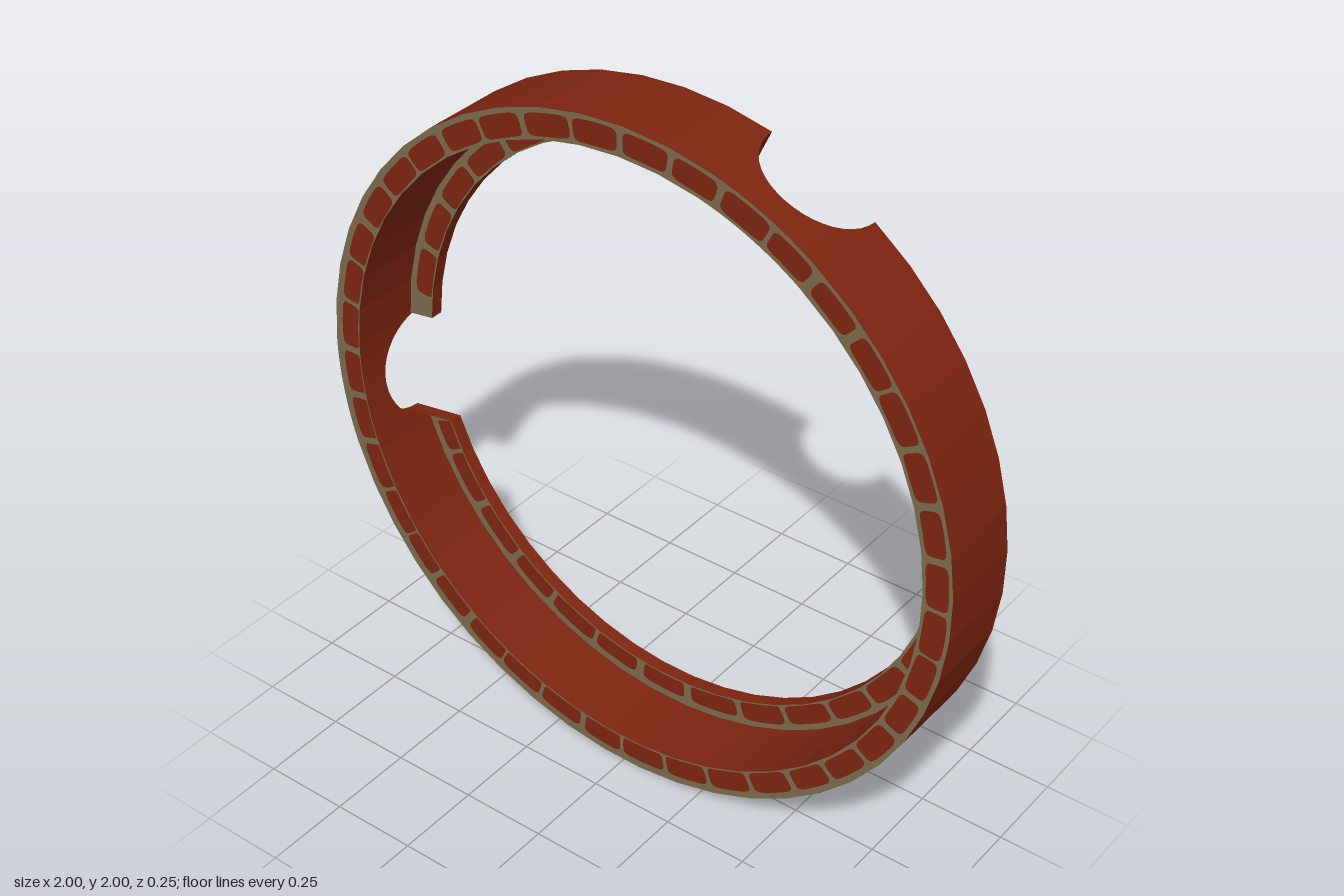
import * as THREE from 'three';

const OUTER = 1, RIM = 0.915, INNER = 0.835;        // radii
const BACK = -0.125, LEDGE = -0.085, FRONT = 0.125; // depths
const NOTCH = 0.166;                                // notch radius
const D = Math.PI / 180;
const NOTCHES = [65 * D, 189 * D];

const at = (r, a, z) => new THREE.Vector3(r * Math.cos(a), 1 + r * Math.sin(a), z);

function addQuad(list, a, b, c, d) {
  for (const p of [a, b, c, a, c, d]) list.push(p.x, p.y, p.z);
}

// Joins neighbouring cross-sections; front-facing edges go to the mortar list
function loft(columns, mortarEdges, wall, mortar) {
  for (let i = 0; i + 1 < columns.length; i++) {
    const p = columns[i], q = columns[i + 1], n = p.length;
    for (let k = 0; k < n; k++) {
      const m = (k + 1) % n;
      addQuad(mortarEdges.includes(k) ? mortar : wall, p[k], q[k], q[m], p[m]);
    }
  }
}

function meshFrom(name, positions, material) {
  const g = new THREE.BufferGeometry();
  g.setAttribute('position', new THREE.Float32BufferAttribute(positions, 3));
  g.computeVertexNormals();
  const mesh = new THREE.Mesh(g, material);
  mesh.name = name;
  return mesh;
}

// A curved row of rounded bricks lying just in front of a mortar face
function brickRow(name, o, material, random) {
  const shapes = [];
  for (let i = 0; i < o.count; i++) {
    const step = 2 * Math.PI / o.count;
    const mid = o.start + i * step + (random() - 0.5) * 0.012;
    const halfAngle = step * (0.42 + random() * 0.055);
    const halfWidth = o.half * (0.92 + random() * 0.12);
    let low = -Infinity, high = Infinity, skip = false;
    if (o.cut) for (const n of NOTCHES) {
      const d = Math.atan2(Math.sin(mid - n), Math.cos(mid - n));
      const edge = Math.asin(NOTCH / o.radius) + 0.006;
      if (Math.abs(d) < edge) skip = true;
      else if (d > 0) low = Math.max(low, mid - d + edge);
      else high = Math.min(high, mid - d - edge);
    }
    if (skip) continue;
    const pts = [];
    for (let k = 0; k < 24; k++) {
      const t = k / 24 * 2 * Math.PI, c = Math.cos(t), s = Math.sin(t);
      const u = Math.sign(c) * Math.pow(Math.abs(c), 0.35);
      const v = Math.sign(s) * Math.pow(Math.abs(s), 0.4);
      const a = Math.min(high, Math.max(low, mid + u * halfAngle));
      const shift = 0.008 * (Math.cos(a) + Math.sin(a)) * 0.8;
      const r = Math.min(o.max, Math.max(o.min, o.radius + shift + v * halfWidth));
      pts.push(new THREE.Vector2(r * Math.cos(a), 1 + r * Math.sin(a)));
    }
    shapes.push(new THREE.Shape(pts));
  }
  const mesh = new THREE.Mesh(new THREE.ShapeGeometry(shapes), material);
  mesh.position.z = o.z;
  mesh.name = name;
  return mesh;
}

export function createModel() {
  const group = new THREE.Group();
  group.name = 'brickRing';
  const brick = new THREE.MeshStandardMaterial({ color: 0x7c240f });
  brick.name = 'brick red';
  const mortarMat = new THREE.MeshStandardMaterial({ color: 0x7a6a4b });
  mortarMat.name = 'mortar';
  let seed = 7;
  const random = () => (seed = (seed * 16807) % 2147483647) / 2147483647;

  const wall = [], mortar = [];
  const skin = 0.0015; // brick plates stand this far off the mortar
  const front = FRONT - skin, ledge = LEDGE - skin;

  NOTCHES.forEach((n, i) => {
    // Rim section above a round notch cut in from the back
    const bridge = [];
    for (let k = 0; k <= 20; k++) {
      const f = -Math.PI / 2 + Math.PI * k / 20;
      const t = NOTCH * Math.sin(f), zb = BACK + NOTCH * Math.cos(f);
      const ao = n + Math.asin(t / OUTER), ai = n + Math.asin(t / RIM);
      bridge.push([at(OUTER, ao, zb), at(OUTER, ao, front), at(RIM, ai, front), at(RIM, ai, zb)]);
    }
    loft(bridge, [1], wall, mortar);

    // Stepped ring section running on to the next notch
    const next = i === 0 ? NOTCHES[1] : NOTCHES[0] + 2 * Math.PI;
    const segments = Math.round((next - n - 0.34) / (2 * Math.PI) * 48);
    const arc = [];
    for (let k = 0; k <= segments; k++) {
      const angle = r => {
        const e = Math.asin(NOTCH / r);
        return n + e + (next - n - 2 * e) * k / segments;
      };
      const [o, m, l] = [OUTER, RIM, INNER].map(angle);
      arc.push([at(OUTER, o, BACK), at(OUTER, o, front), at(RIM, m, front),
        at(RIM, m, ledge), at(INNER, l, ledge), at(INNER, l, BACK), at(RIM, m, BACK)]);
    }
    loft(arc, [1, 3], wall, mortar);

    // Cut ends of the ledge
    const s = arc[0], e = arc[segments];
    addQuad(wall, s[3], s[4], s[5], s[6]);
    addQuad(wall, e[6], e[5], e[4], e[3]);
  });

  group.add(meshFrom('ringWalls', wall, brick), meshFrom('mortarFaces', mortar, mortarMat));
  group.add(brickRow('rimBricks', { count: 40, start: 274.5 * D, radius: 0.95, half: 0.032,
    min: RIM + 0.002, max: 0.994, z: FRONT }, brick, random));
  group.add(brickRow('ledgeBricks', { count: 32, start: 280.3 * D, radius: 0.868, half: 0.031,
    min: INNER + 0.002, max: RIM - 0.004, z: LEDGE, cut: true }, brick, random));
  return group;
}
